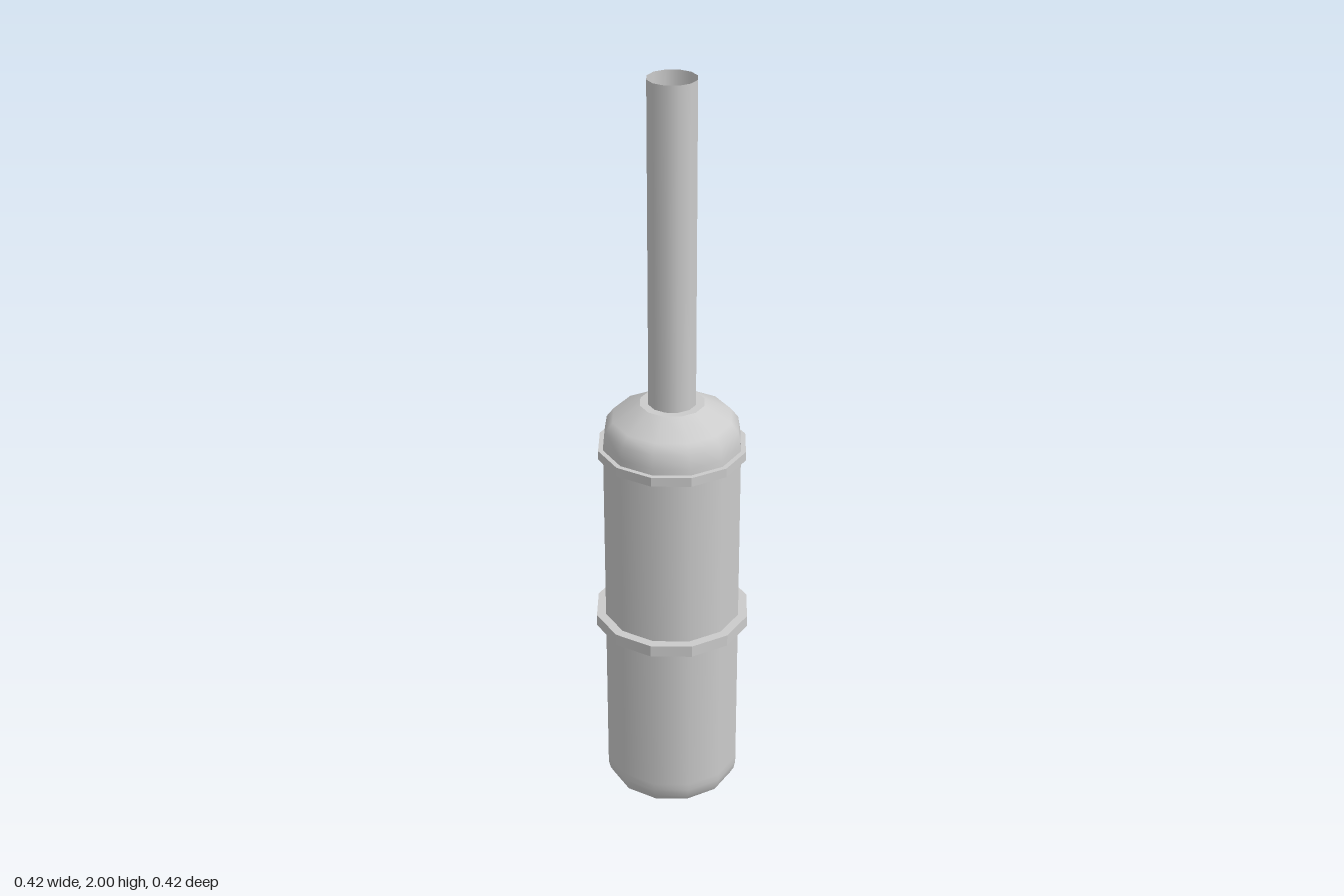
import * as THREE from 'three';

const SIDES = 12;
const material = new THREE.MeshStandardMaterial({ color: 0xcccccc, side: THREE.DoubleSide });
const facetedMaterial = new THREE.MeshStandardMaterial({ color: 0xcccccc, side: THREE.DoubleSide, flatShading: true });

// Turned part from [radius, height] pairs, listed from bottom to top
function turned(name, profile, mat = material) {
  const points = profile.map(([r, y]) => new THREE.Vector2(r, y));
  const mesh = new THREE.Mesh(new THREE.LatheGeometry(points, SIDES), mat);
  mesh.name = name;
  return mesh;
}

// Solid hoop with a rectangular section
function hoop(name, inner, outer, bottom, top) {
  return turned(name, [[inner, bottom], [outer, bottom], [outer, top], [inner, top], [inner, bottom]], facetedMaterial);
}

export function createModel() {
  const group = new THREE.Group();
  group.name = 'canisterWithPipe';
  group.add(
    // Open-bottomed body with a tapered lower lip
    turned('lowerBody', [[0.168, 0], [0.178, 0.018], [0.183, 0.04], [0.183, 0.06], [0.183, 0.51]]),
    turned('upperBody', [[0.183, 0.51], [0.183, 1.015]]),
    // Raised bands around the body
    hoop('middleBand', 0.183, 0.208, 0.498, 0.53),
    hoop('upperBand', 0.183, 0.196, 1.003, 1.028),
    // Rounded shoulder and its flat collar
    turned('shoulder', [[0.183, 1.015], [0.182, 1.045], [0.176, 1.08], [0.157, 1.105], [0.085, 1.145]]),
    turned('collar', [[0.085, 1.145], [0.063, 1.145]]),
    // Open pipe
    turned('pipe', [[0.063, 1.145], [0.063, 2]])
  );
  return group;
}
